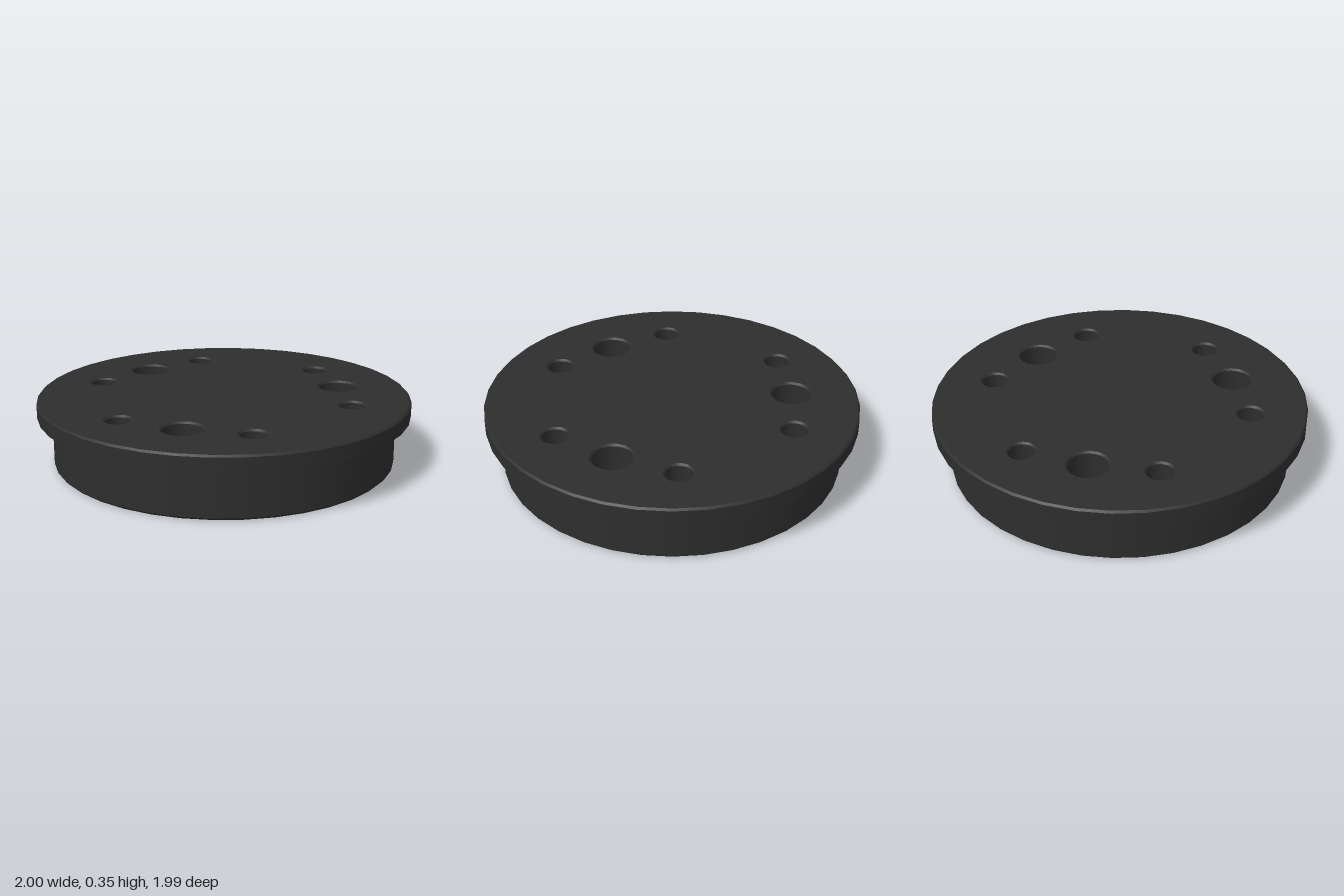
import * as THREE from 'three';
import { mergeGeometries } from 'three/addons/utils/BufferGeometryUtils.js';

const TOP = 0.355;
const RIM_SIDES = 38, BORE_SIDES = 32, HOLE_SIDES = 16;

// Points around a circle, the same ones the turned surfaces use
function circle(r, sides, cx = 0, cy = 0) {
  return Array.from({ length: sides }, (_, i) => {
    const a = (i / sides) * Math.PI * 2;
    return new THREE.Vector2(cx + r * Math.cos(a), cy + r * Math.sin(a));
  });
}

// Turned surface with a sharp edge at each profile point.
// Profiles running upward face out, those running downward face in.
function turned(profile, sides) {
  const bands = [];
  for (let i = 0; i + 1 < profile.length; i++) {
    const pair = [profile[i], profile[i + 1]].map(([r, y]) => new THREE.Vector2(r, y));
    bands.push(new THREE.LatheGeometry(pair, sides, Math.PI / 2));
  }
  return mergeGeometries(bands);
}

// Evenly spaced positions on a bolt circle, as [x, z]
function boltCircle(radius, count, startDegrees) {
  return Array.from({ length: count }, (_, i) => {
    const a = THREE.MathUtils.degToRad(startDegrees + (i * 360) / count);
    return [radius * Math.cos(a), radius * Math.sin(a)];
  });
}

export function createModel() {
  const group = new THREE.Group();
  const black = new THREE.MeshStandardMaterial({ color: 0x2e2e2e });
  black.name = 'black metal';
  black.side = THREE.DoubleSide;

  const add = (name, geometry, x = 0, z = 0) => {
    const mesh = new THREE.Mesh(geometry, black);
    mesh.name = name;
    mesh.position.set(x, 0, z);
    group.add(mesh);
  };

  const through = boltCircle(0.642, 3, -48.4);
  const topBlind = boltCircle(0.705, 6, -18.4);
  const bottomBlind = boltCircle(0.795, 3, 11.6);

  // Flat face with openings; dir is 1 for the top and -1 for the bottom
  const face = (radius, y, dir, openings) => {
    const shape = new THREE.Shape(circle(radius, RIM_SIDES));
    for (const [r, sides, spots] of openings) {
      for (const [x, z] of spots) shape.holes.push(new THREE.Path(circle(r, sides, x, -dir * z)));
    }
    return new THREE.ShapeGeometry(shape).rotateX((-dir * Math.PI) / 2).translate(0, y, 0);
  };

  // Body and flange with small chamfers
  add('body', turned([[0.908, 0], [0.92, 0.012], [0.92, 0.27]], RIM_SIDES));
  add('flange', turned([[0.92, 0.27], [1, 0.27], [1, TOP - 0.01], [0.99, TOP]], RIM_SIDES));
  add('topFace', face(0.99, TOP, 1, [[0.115, HOLE_SIDES, through], [0.079, HOLE_SIDES, topBlind]]));
  add('bottomFace', face(0.908, 0, -1, [
    [0.313, BORE_SIDES, [[0, 0]]],
    [0.139, HOLE_SIDES, through],
    [0.063, HOLE_SIDES, bottomBlind],
  ]));

  // Blind central bore, closed just below the top face
  add('centreBore', turned([[0, 0.315], [0.285, 0.315], [0.285, 0.028], [0.313, 0]], BORE_SIDES));

  // Chamfered through holes
  const throughHole = turned([[0.115, TOP], [0.105, TOP - 0.01], [0.105, 0.034], [0.139, 0]], HOLE_SIDES);
  for (const [x, z] of through) add('throughHole', throughHole, x, z);

  // Blind drilled holes with conical ends
  const topHole = turned([[0.079, TOP], [0.069, TOP - 0.01], [0.069, 0.16], [0, 0.12]], HOLE_SIDES);
  for (const [x, z] of topBlind) add('topDrilledHole', topHole, x, z);

  const bottomHole = turned([[0, 0.2], [0.052, 0.17], [0.052, 0.011], [0.063, 0]], HOLE_SIDES);
  for (const [x, z] of bottomBlind) add('bottomDrilledHole', bottomHole, x, z);

  return group;
}
